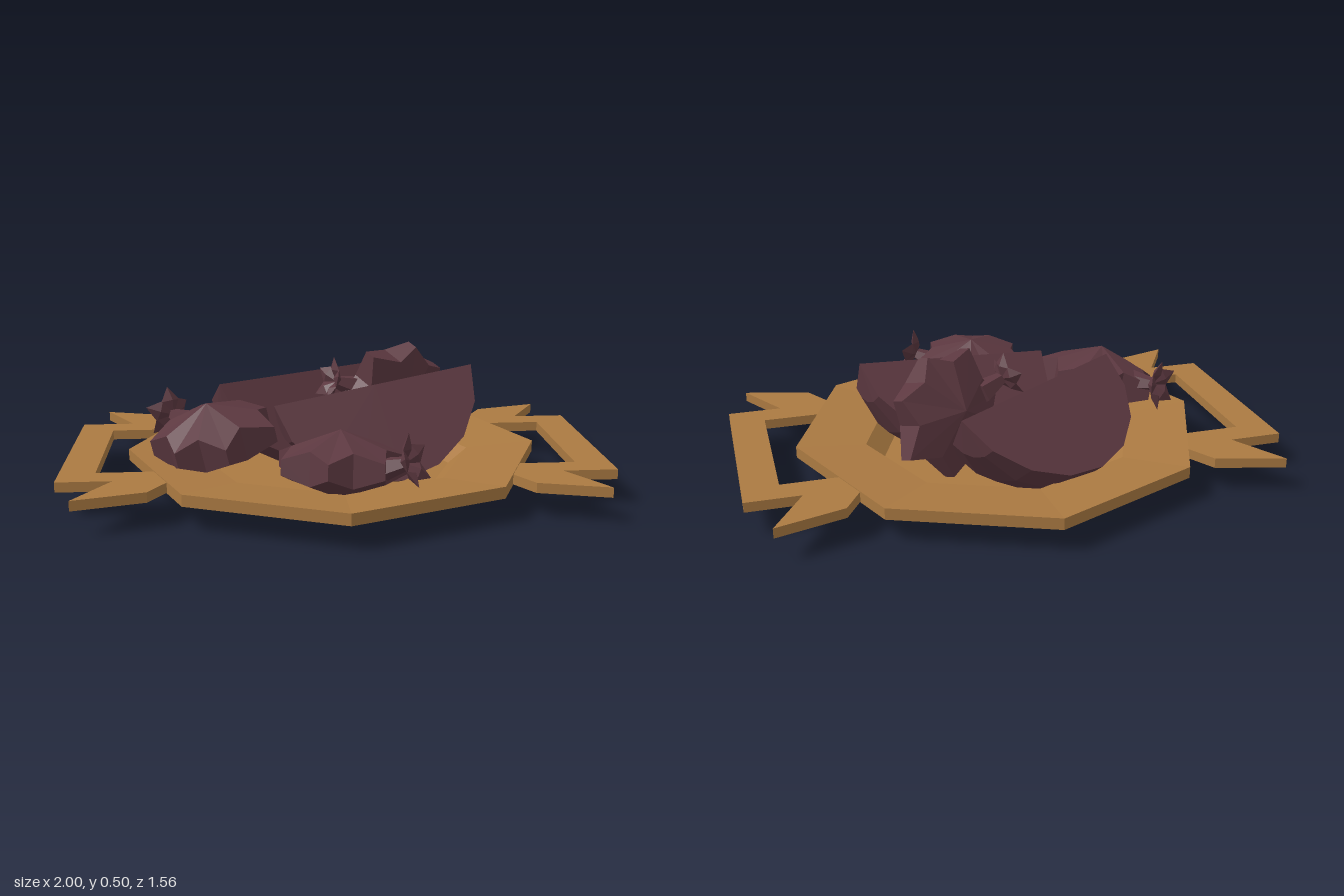
import * as THREE from 'three';

const wood = new THREE.MeshStandardMaterial({ color: 0xab7a42, flatShading: true, side: THREE.DoubleSide });
const plum = new THREE.MeshStandardMaterial({ color: 0x5c3840, flatShading: true, side: THREE.DoubleSide });

function mesh(name, geometry, material) {
  const m = new THREE.Mesh(geometry, material);
  m.name = name;
  return m;
}

// Eight-sided shallow dish
function dish() {
  const profile = [[0, 0], [0.5, 0], [0.78, 0.09], [0.78, 0.133], [0.52, 0.11], [0.45, 0.05], [0, 0.05]];
  return mesh('dish', new THREE.LatheGeometry(profile.map(p => new THREE.Vector2(...p)), 8), wood);
}

// Bracket handle with two pointed fins
function handle(side) {
  const half = [[0.66, 0.28], [0.61, 0.41], [0.67, 0.51], [0.92, 0.58], [0.8, 0.38], [1, 0.38]];
  const outline = [...half, ...half.map(([x, z]) => [x, -z]).reverse(), [0.87, -0.28], [0.87, 0.28]];
  const shape = new THREE.Shape(outline.map(([x, z]) => new THREE.Vector2(x * side, z)));
  const g = new THREE.ExtrudeGeometry(shape, { depth: 0.037, bevelEnabled: false });
  g.rotateX(Math.PI / 2).translate(0, 0.13, 0);
  return mesh(side > 0 ? 'leftHandle' : 'rightHandle', g, wood);
}

// Fruit wedge: straight ridge from a to b on top, two flat cuts, faceted rind below
function wedge(name, a, b) {
  const start = new THREE.Vector3(...a), end = new THREE.Vector3(...b);
  const ridge = end.clone().sub(start);
  const length = ridge.length() / 2;
  ridge.normalize();
  const down = new THREE.Vector3(0, -1, 0);
  down.addScaledVector(ridge, -down.dot(ridge)).normalize();
  const across = down.clone().cross(ridge);
  const front = -0.54, back = 0.91, depth = 0.377;

  const group = new THREE.Group();
  group.name = name;
  const rind = new THREE.SphereGeometry(1, 4, 8, Math.PI + front, back - front);
  group.add(mesh('rind', rind.scale(depth, length, depth), plum));
  for (const angle of [front, back]) {
    const cut = new THREE.CircleGeometry(1, 8, -Math.PI / 2, Math.PI);
    group.add(mesh('cutFace', cut.scale(depth, length, 1).rotateY(angle), plum));
  }
  group.quaternion.setFromRotationMatrix(new THREE.Matrix4().makeBasis(down, ridge, across));
  group.position.copy(start).add(end).multiplyScalar(0.5);
  return group;
}

// Flattened, ribbed fruit: fans of facets from two poles to a thin, jagged rim
function ribbedFruit(name, position, rotation, radius, thickness) {
  const g = new THREE.SphereGeometry(1, 14, 3);
  const p = g.attributes.position;
  for (let i = 0; i < p.count; i++) {
    const column = (i % 15) % 14;
    const k = (column % 2 ? 0.85 : 1.13 + 0.1 * Math.sin(column * 2.3)) * radius;
    const isPole = Math.abs(p.getY(i)) > 0.9;
    const flatten = isPole ? 1 : column % 2 ? 1 : 0.45;
    p.setXYZ(i, p.getX(i) * k, p.getY(i) * thickness * flatten, p.getZ(i) * k);
  }
  const m = mesh(name, g, plum);
  m.position.set(...position);
  m.rotation.set(...rotation, 'YXZ');
  return m;
}

// Star of pointed leaves on a short stem, opening along its own +z
function leafTuft(name, position, rotation, size) {
  const group = new THREE.Group();
  group.name = name;
  for (let i = 0; i < 5; i++) {
    const g = new THREE.OctahedronGeometry(0.5 * size);
    g.scale(0.75, 1, 0.3).translate(0, size / 2, 0);
    g.rotateX(0.45).rotateZ(i * Math.PI * 0.4);
    group.add(mesh('leaf', g, plum));
  }
  const stem = new THREE.CylinderGeometry(0.025, 0.05, size, 5);
  group.add(mesh('stem', stem.rotateX(Math.PI / 2).translate(0, 0, -size / 2), plum));
  group.position.set(...position);
  group.rotation.set(...rotation, 'YXZ');
  return group;
}

export function createModel() {
  const model = new THREE.Group();
  model.name = 'fruitDish';
  model.add(dish(), handle(1), handle(-1));

  model.add(
    wedge('frontWedge', [-0.23, 0.34, 0.19], [0.53, 0.44, -0.01]),
    wedge('backWedge', [-0.43, 0.378, -0.01], [0.26, 0.37, -0.45])
  );

  // Fruit at the side, at the front, and on edge between the wedges
  model.add(
    ribbedFruit('sideFruit', [-0.45, 0.22, 0.14], [0.12, 0, 0.2], 0.24, 0.13),
    leafTuft('sideLeaves', [-0.61, 0.25, -0.06], [-0.1, -2.46, 0], 0.11),
    ribbedFruit('frontFruit', [-0.01, 0.2, 0.46], [-0.12, 0.4, -0.08], 0.23, 0.12),
    leafTuft('frontLeaves', [0.2, 0.23, 0.57], [-0.35, 1.07, 0], 0.11),
    ribbedFruit('middleFruit', [0.25, 0.29, -0.18], [Math.PI / 2 + 0.3, 0.53, 0], 0.24, 0.11),
    leafTuft('middleLeaves', [0.02, 0.36, -0.1], [-0.35, -1.21, 0], 0.1)
  );
  return model;
}
